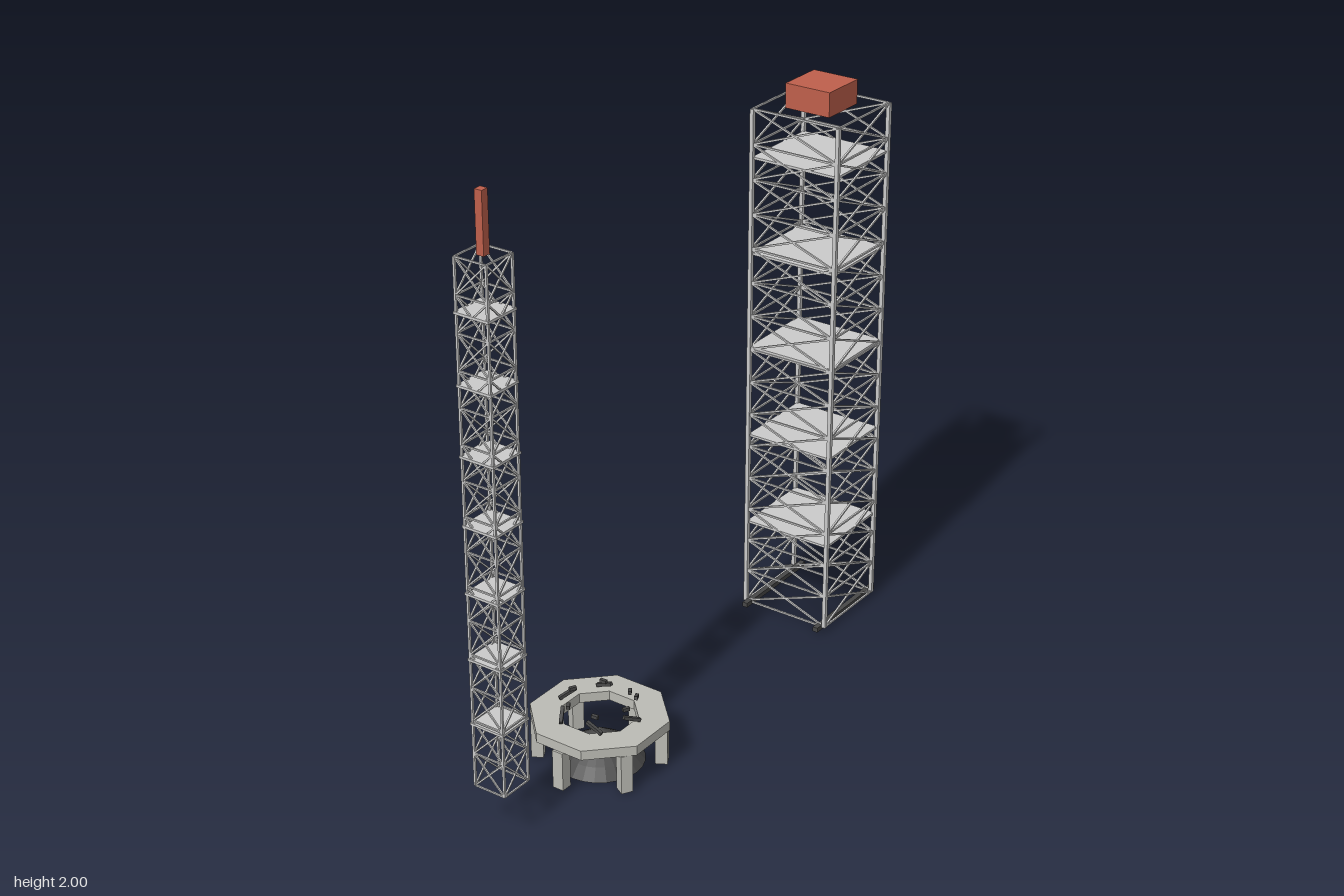
import * as THREE from 'three';

const mat = (color) => new THREE.MeshStandardMaterial({ color, flatShading: true });
const grey = mat(0xcccccc);
const stone = mat(0xbdbdb6);
const dark = mat(0x484848);
const red = mat(0xc0604c);

function box(parent, name, size, pos, material = grey) {
  const mesh = new THREE.Mesh(new THREE.BoxGeometry(...size), material);
  mesh.name = name;
  mesh.position.set(...pos);
  parent.add(mesh);
  return mesh;
}

// Square bar between two points
function bar(parent, name, a, b, t, material = grey) {
  const p = new THREE.Vector3(...a), q = new THREE.Vector3(...b);
  const mesh = box(parent, name, [t, t, p.distanceTo(q)], [0, 0, 0], material);
  mesh.position.copy(p).add(q).multiplyScalar(0.5);
  mesh.lookAt(q);
  return mesh;
}

// Lattice tower: corner posts, crossed braces per bay, thin floors
function latticeTower(name, o) {
  const tower = new THREE.Group();
  tower.name = name;
  const { hx, hz, y0, y1, bays, post, brace } = o;
  const corners = [[hx, hz], [-hx, hz], [-hx, -hz], [hx, -hz]];
  const step = (y1 - y0) / bays;
  corners.forEach(([x, z], i) => {
    const [u, w] = corners[(i + 1) % 4];
    box(tower, 'cornerPost', [post, y1 - y0, post], [x, (y0 + y1) / 2, z]);
    for (let k = 0; k <= bays; k++) {
      const lo = y0 + k * step, hi = lo + step;
      bar(tower, 'horizontalBrace', [x, lo, z], [u, lo, w], brace);
      if (k === bays) continue;
      bar(tower, 'diagonalBrace', [x, lo, z], [u, hi, w], brace);
      bar(tower, 'diagonalBrace', [u, lo, w], [x, hi, z], brace);
    }
  });
  for (const y of o.floors) {
    box(tower, 'floor', [2 * hx + o.overhang, 0.008, 2 * hz + o.overhang], [0, y, 0]);
  }
  return tower;
}

function serviceTower() {
  const tower = latticeTower('serviceTower', {
    hx: 0.146, hz: 0.156, y0: 0.02, y1: 1.76, bays: 15, post: 0.013, brace: 0.006,
    floors: [0.32, 0.64, 0.955, 1.28, 1.6].map((y) => y), overhang: 0,
  });
  // Ground rails and roof cabin
  for (const s of [-1, 1]) box(tower, 'groundRail', [0.355, 0.016, 0.018], [0, 0.02, s * 0.14], dark);
  box(tower, 'roofCabin', [0.16, 0.08, 0.16], [0, 1.8, 0], red);
  tower.position.x = 0.757;
  return tower;
}

function umbilicalTower() {
  const tower = latticeTower('umbilicalTower', {
    hx: 0.054, hz: 0.054, y0: 0.165, y1: 1.815, bays: 15, post: 0.007, brace: 0.005,
    floors: Array.from({ length: 7 }, (_, i) => 0.375 + i * 0.2133), overhang: 0.012,
  });
  box(tower, 'mast', [0.025, 0.185, 0.025], [0, 1.9075, 0], red);
  tower.position.x = -0.878;
  return tower;
}

function octagon(Curve, apothem) {
  const r = apothem / Math.cos(Math.PI / 8);
  const points = Array.from({ length: 8 }, (_, i) => {
    const a = (i + 0.5) * Math.PI / 4;
    return new THREE.Vector2(r * Math.cos(a), r * Math.sin(a));
  });
  return new Curve(points);
}

function launchStand() {
  const stand = new THREE.Group();
  stand.name = 'launchStand';

  // Octagonal table with an open centre
  const shape = octagon(THREE.Shape, 0.202);
  shape.holes.push(octagon(THREE.Path, 0.113));
  const table = new THREE.Mesh(
    new THREE.ExtrudeGeometry(shape, { depth: 0.032, bevelEnabled: false }), stone);
  table.name = 'table';
  table.rotation.x = -Math.PI / 2;
  table.position.y = 0.13;
  stand.add(table);

  // Legs, with hold-down arms between them
  for (let i = 0; i < 6; i++) {
    const sector = new THREE.Group();
    sector.name = 'legAndArm';
    sector.rotation.y = i * Math.PI / 3;
    box(sector, 'leg', [0.038, 0.13, 0.038], [0.19, 0.065, 0], stone);
    const arm = new THREE.Group();
    arm.name = 'holdDownArm';
    arm.rotation.y = Math.PI / 6;
    bar(arm, 'armStrut', [0.138, 0.16, 0], [0.107, 0.21, 0], 0.011, dark);
    bar(arm, 'armClaw', [0.112, 0.21, 0], [0.09, 0.21, 0], 0.011, dark);
    sector.add(arm);
    stand.add(sector);
  }

  // Flame deflector cone under the opening
  const profile = [[0, 0], [0.14, 0], [0.11, 0.035], [0.08, 0.056], [0, 0.11]];
  const cone = new THREE.Mesh(
    new THREE.LatheGeometry(profile.map((p) => new THREE.Vector2(...p)), 24), dark);
  cone.name = 'flameDeflector';
  stand.add(cone);

  stand.position.x = -0.411;
  return stand;
}

export function createModel() {
  const model = new THREE.Group();
  model.name = 'launchComplex';
  model.add(serviceTower(), umbilicalTower(), launchStand());
  return model;
}
